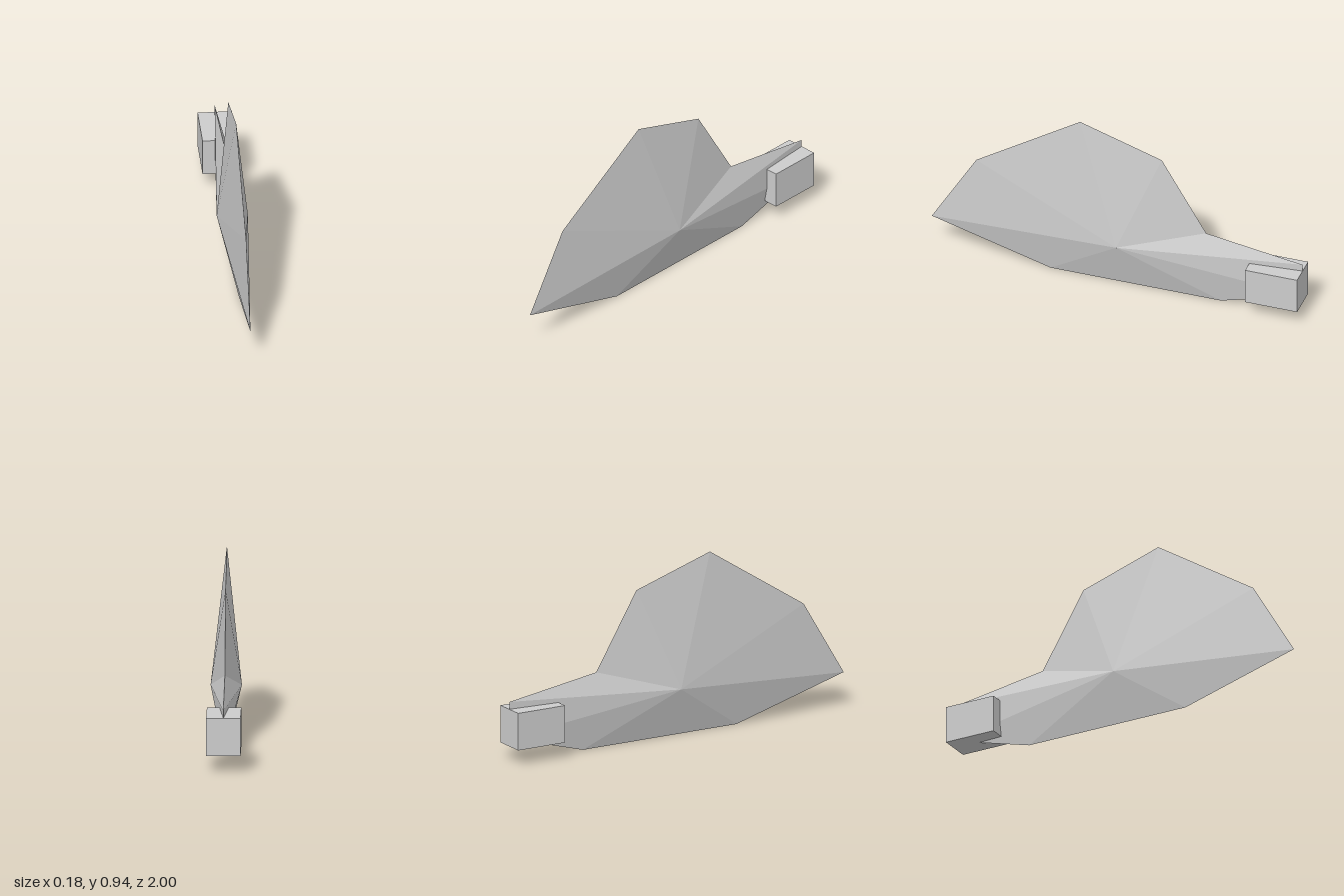
import * as THREE from 'three';

export function createModel() {
  const model = new THREE.Group();
  const grey = new THREE.MeshStandardMaterial({ color: 0xcccccc });
  grey.name = 'light grey';

  // Blade outline in the middle plane as [z, y], from the nose over the top to the tail
  const outline = [
    [1, 0.18], [0.76, 0.58], [0.2, 0.94], [-0.24, 0.8], [-0.48, 0.4],
    [-1, 0.32], [-1, 0.125], [-0.56, 0], [0.36, 0],
  ];

  // Each side is a shallow faceted pyramid rising to one ridge point
  const positions = [];
  for (const side of [1, -1]) {
    const apex = [side * 0.08, 0.26, -0.02];
    outline.forEach(([z, y], i) => {
      const [nextZ, nextY] = outline[(i + 1) % outline.length];
      const a = [0, y, z];
      const b = [0, nextY, nextZ];
      positions.push(...apex, ...(side > 0 ? b : a), ...(side > 0 ? a : b));
    });
  }
  const bladeGeometry = new THREE.BufferGeometry();
  bladeGeometry.setAttribute('position', new THREE.Float32BufferAttribute(positions, 3));
  bladeGeometry.computeVertexNormals();
  const blade = new THREE.Mesh(bladeGeometry, grey);
  blade.name = 'blade';
  model.add(blade);

  // Block clamped around the tail
  const tailBlock = new THREE.Mesh(new THREE.BoxGeometry(0.176, 0.197, 0.28), grey);
  tailBlock.name = 'tailBlock';
  tailBlock.position.set(0, 0.1825, -0.86);
  model.add(tailBlock);

  return model;
}
